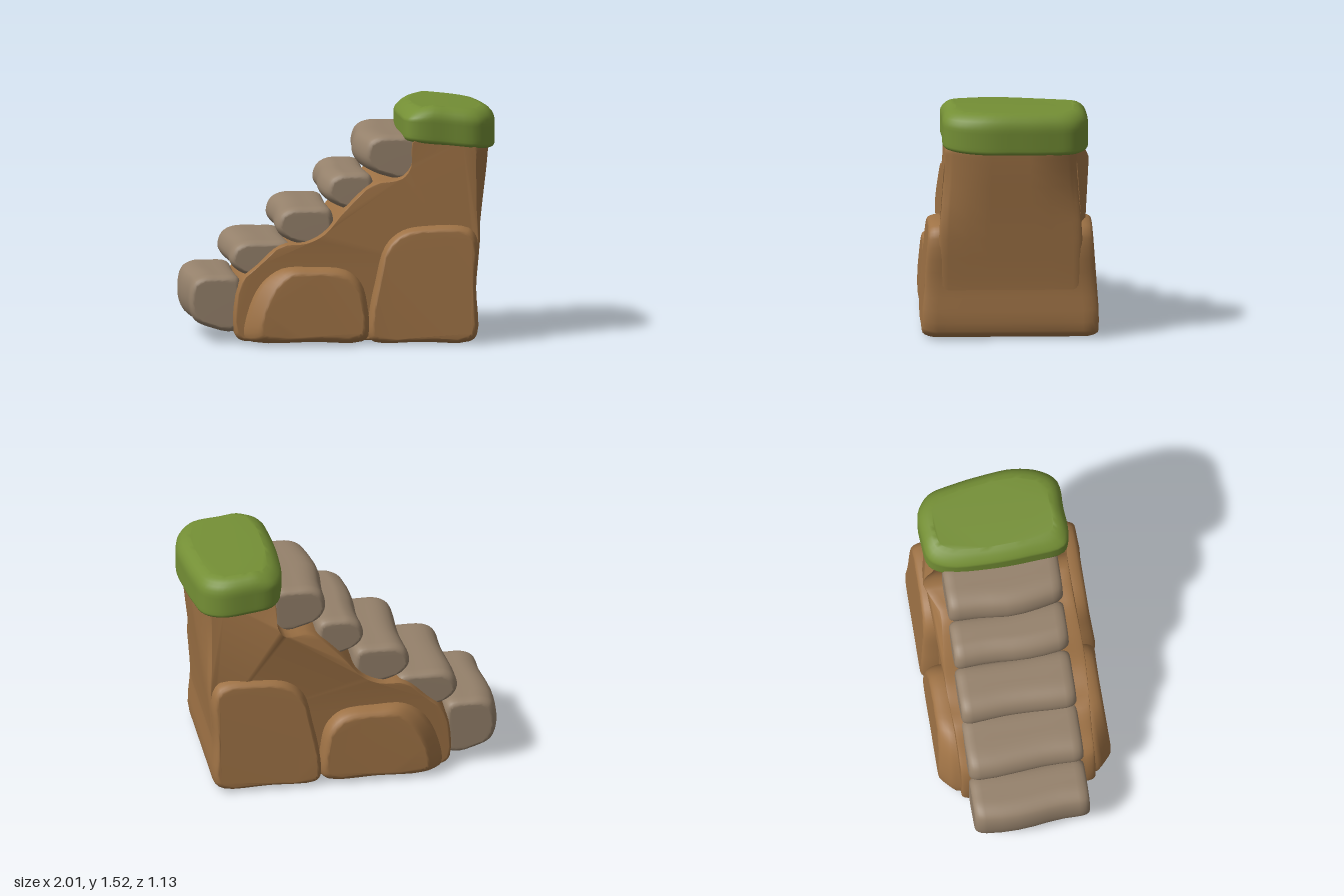
import * as THREE from 'three';

const earth = new THREE.MeshStandardMaterial({ color: 0x9e7245 });
earth.name = 'earth';
const stone = new THREE.MeshStandardMaterial({ color: 0x95816b });
stone.name = 'stone';
const grass = new THREE.MeshStandardMaterial({ color: 0x748f35 });
grass.name = 'grass';

const { smoothstep, lerp } = THREE.MathUtils;

// Smooth closed counter-clockwise outline through a few points
function smoothOutline(points) {
  const curve = new THREE.CatmullRomCurve3(points.map(([x, y]) => new THREE.Vector3(x, y, 0)), true, 'centripetal');
  return curve.getPoints(points.length * 4).slice(0, -1).map(p => new THREE.Vector2(p.x, p.y));
}

// Rounded slab: rings of the outline from z0 to z1, shrinking towards each end.
// back / front: [inset, depth] of the rounding
function slab(points, z0, z1, back, front) {
  const outline = smoothOutline(points);
  const box = new THREE.Box2().setFromPoints(outline);
  const mid = box.getCenter(new THREE.Vector2());
  const half = box.getSize(new THREE.Vector2()).multiplyScalar(0.5);
  const steps = 5, rings = [];
  for (let i = 0; i <= steps; i++) {
    const a = (i / steps) * Math.PI / 2;
    rings.push([z0 + back[1] * (1 - Math.cos(a)), back[0] * (1 - Math.sin(a))]);
  }
  for (let i = 1; i < 6; i++) rings.push([lerp(z0 + back[1], z1 - front[1], i / 6), 0]);
  for (let i = steps; i >= 0; i--) {
    const a = (i / steps) * Math.PI / 2;
    rings.push([z1 - front[1] * (1 - Math.cos(a)), front[0] * (1 - Math.sin(a))]);
  }
  const n = outline.length, pos = [], index = [];
  for (const [z, inset] of rings) {
    for (const p of outline) {
      pos.push(mid.x + (p.x - mid.x) * (1 - inset / half.x), mid.y + (p.y - mid.y) * (1 - inset / half.y), z);
    }
  }
  for (let i = 0; i < rings.length - 1; i++) {
    for (let j = 0; j < n; j++) {
      const k = (j + 1) % n, a = i * n + j, b = i * n + k, c = b + n, d = a + n;
      index.push(a, b, c, a, c, d);
    }
  }
  const last = (rings.length - 1) * n;
  for (const [a, b, c] of THREE.ShapeUtils.triangulateShape(outline, [])) {
    index.push(c, b, a, last + a, last + b, last + c);
  }
  const geo = new THREE.BufferGeometry();
  geo.setAttribute('position', new THREE.Float32BufferAttribute(pos, 3));
  geo.setIndex(index);
  return geo;
}

// Move every vertex by a rule, then smooth the normals
function reshape(geo, rule) {
  const p = geo.attributes.position, v = new THREE.Vector3();
  for (let i = 0; i < p.count; i++) {
    v.fromBufferAttribute(p, i);
    rule(v);
    p.setXYZ(i, v.x, v.y, v.z);
  }
  geo.computeVertexNormals();
  return geo;
}

export function createModel() {
  const model = new THREE.Group();
  model.name = 'cliffStairs';
  const add = (name, geo, material) => {
    const mesh = new THREE.Mesh(geo, material);
    mesh.name = name;
    model.add(mesh);
  };

  // Earth core: a sloping wedge that rises to a pillar
  const core = slab([
    [-0.65, 0.015], [-0.5, 0.01], [0.2, 0.01], [0.8, 0.01], [0.85, 0.04], [0.855, 0.3], [0.9, 0.78], [0.945, 1.18],
    [0.945, 1.25], [0.9, 1.3], [0.7, 1.33], [0.5, 1.34], [0.455, 1.28], [0.45, 1.14], [0.39, 1.06], [0.2, 1.02],
    [0.02, 0.86], [-0.12, 0.7], [-0.24, 0.64], [-0.4, 0.62], [-0.54, 0.5], [-0.66, 0.38], [-0.69, 0.06],
  ], -0.46, 0.46, [0.02, 0.06], [0.02, 0.06]);
  add('earthCore', reshape(core, v => {
    // rounded upright corners on the pillar
    v.x -= 0.07 * smoothstep(Math.abs(v.z), 0.3, 0.46) * smoothstep(v.y, 0.6, 1.1) * smoothstep(v.x, 0.6, 0.85);
    v.z *= 1 - 0.08 * smoothstep(v.y, 0.6, 1.2) - 0.06 * smoothstep(-v.x, 0, 0.6);
    // ridge at the back below the grass
    const d = Math.hypot(v.x - 0.45, v.y - 1.08);
    if (v.z < -0.3) v.z -= 0.1 * Math.max(0, 1 - d / 0.22);
  }), earth);

  // Boulders bulging from both flanks
  const taper = v => { v.z *= 1 - 0.13 * Math.max(0, v.y - 0.18); };
  add('tallBoulders', reshape(slab([
    [0.2, 0.008], [0.5, 0.005], [0.81, 0.005], [0.86, 0.05], [0.855, 0.35], [0.865, 0.66], [0.81, 0.735],
    [0.55, 0.75], [0.38, 0.72], [0.27, 0.62], [0.21, 0.4], [0.17, 0.2], [0.165, 0.04],
  ], -0.565, 0.565, [0.035, 0.1], [0.035, 0.1]), taper), earth);
  add('lowBoulders', reshape(slab([
    [-0.6, 0.012], [-0.2, 0.01], [0.12, 0.01], [0.165, 0.05], [0.16, 0.22], [0.12, 0.38], [0.02, 0.47], [-0.2, 0.49],
    [-0.4, 0.48], [-0.54, 0.38], [-0.63, 0.2], [-0.65, 0.04],
  ], -0.56, 0.555, [0.045, 0.1], [0.045, 0.1]), v => {
    taper(v);
    // outer face slants in towards the foot of the stairs
    v.x += 0.09 * smoothstep(Math.abs(v.z), 0.4, 0.56) * smoothstep(-v.x, 0.1, 0.6);
  }), earth);

  // Stone steps: left, right, bottom, top, skew along z
  const treads = [
    [-1.0, -0.66, 0.07, 0.435, 0.02],
    [-0.735, -0.34, 0.4, 0.655, 0.03],
    [-0.425, -0.07, 0.61, 0.87, 0.02],
    [-0.135, 0.17, 0.83, 1.09, 0.04],
    [0.1, 0.465, 1.04, 1.33, 0.04],
  ];
  treads.forEach(([l, r, b, t, skew], i) => {
    const h = t - b;
    const geo = slab([
      [l + 0.035, b + 0.07], [l + 0.13, b + 0.02], [r - 0.05, b - 0.01], [r - 0.01, b + 0.03], [r, t - 0.06],
      [r - 0.03, t - 0.01], [r - 0.15, t], [l + 0.09, t - 0.005], [l + 0.025, t - 0.045], [l, b + h * 0.5],
    ], -0.39, 0.355, [0.035, 0.07], [0.035, 0.07]);
    add('step' + (i + 1), reshape(geo, v => {
      v.x += skew * (v.z > 0 ? v.z / 0.36 : 0) + 0.012 * Math.sin(v.z * 9 + i) * (v.x < (l + r) / 2 ? 1 : 0);
      v.y -= 0.015 * (v.z + 0.3) * (v.y - b) / h;
    }), stone);
  });

  // Grass cap: outline in plan, stood upright and tilted down to the outer side
  const cap = slab([
    [0.42, -0.4], [0.5, -0.44], [0.68, -0.435], [0.87, -0.425], [0.955, -0.33], [0.998, -0.16], [0.985, 0.05],
    [0.955, 0.25], [0.91, 0.41], [0.8, 0.49], [0.62, 0.495], [0.47, 0.47], [0.4, 0.36], [0.375, 0.1], [0.385, -0.18],
  ], 1.255, 1.512, [0.025, 0.03], [0.09, 0.09]);
  cap.rotateX(-Math.PI / 2);
  add('grassCap', reshape(cap, v => {
    const upper = smoothstep(v.y, 1.35, 1.5);
    v.y += -0.11 * (v.x - 0.66) + (v.z > 0 ? 0.02 : 0.05) * v.z;
    // stair-side and front edges roll over
    v.y -= upper * (0.3 * Math.max(0, 0.58 - v.x) + 0.06 * Math.max(0, v.z - 0.15));
  }), grass);

  return model;
}
